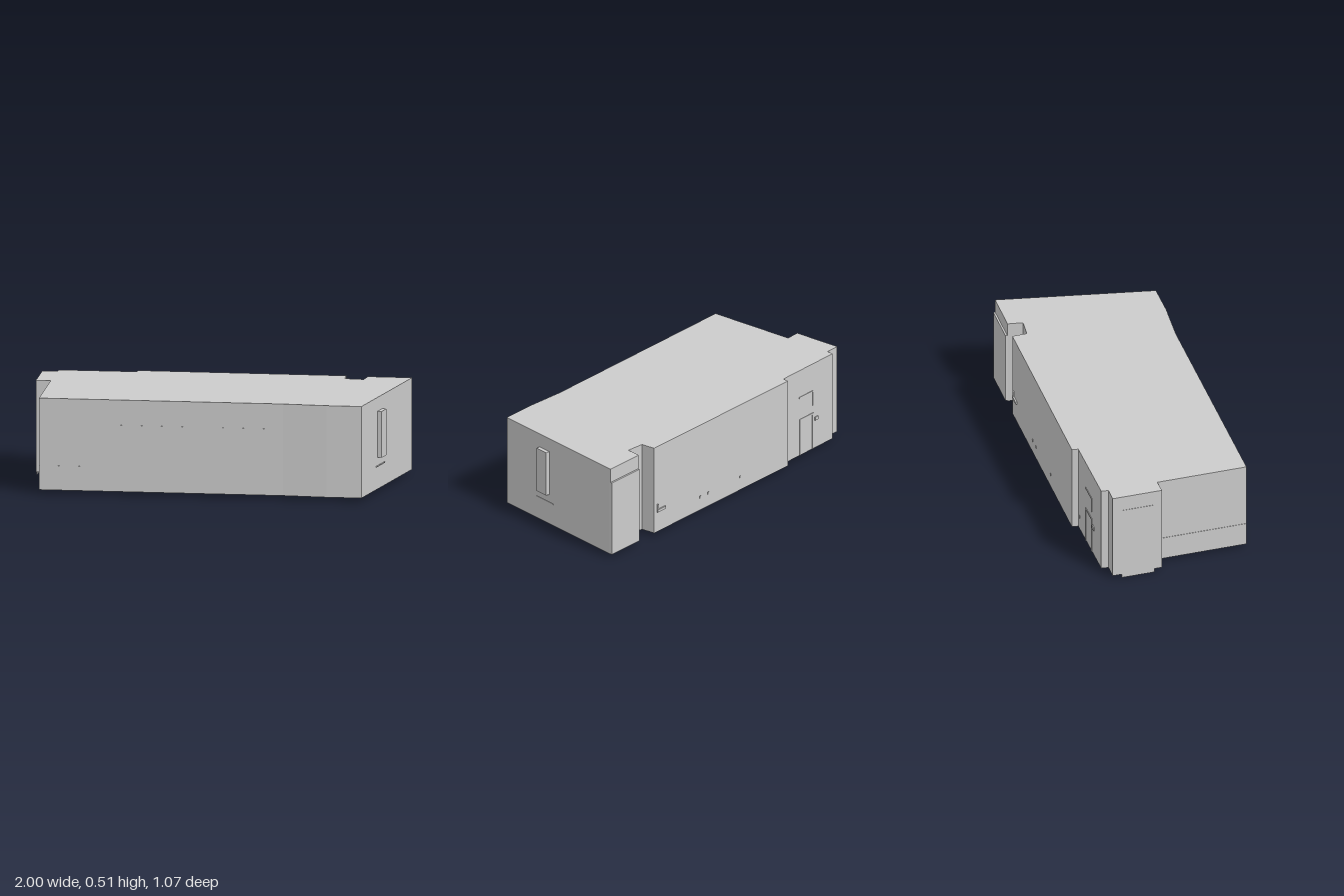
import * as THREE from 'three';

const FLOOR = 0.02, TOP = 0.515;

export function createModel() {
  const group = new THREE.Group();
  const mat = new THREE.MeshStandardMaterial({ color: 0xcccccc, flatShading: true });

  const add = (name, geometry) => {
    const mesh = new THREE.Mesh(geometry, mat);
    mesh.name = name;
    group.add(mesh);
    return mesh;
  };

  // Panel standing on a wall line from (x1, z1) to (x2, z2), proud by depth
  const onWall = (name, [x1, z1], [x2, z2], y0, y1, depth) => {
    const length = Math.hypot(x2 - x1, z2 - z1);
    const mesh = add(name, new THREE.BoxGeometry(length, y1 - y0, depth * 2));
    mesh.position.set((x1 + x2) / 2, (y0 + y1) / 2, (z1 + z2) / 2);
    mesh.rotation.y = Math.atan2(z1 - z2, x2 - x1);
    return mesh;
  };
  const along = (a, b, t) => [a[0] + (b[0] - a[0]) * t, a[1] + (b[1] - a[1]) * t];

  // Room shell: floor plan (x, z) pulled up to the ceiling
  const plan = [
    [-0.99, 0.26], [0.30, 0.452], [0.53, 0.503], [0.715, 0.53], [0.998, -0.28],
    [0.765, -0.316], [0.74, -0.237], [0.64, -0.262], [0.65, -0.342],
    [-0.45, -0.51], [-0.46, -0.477], [-0.87, -0.535], [-0.88, -0.497],
    [-0.96, -0.51], [-0.999, -0.24], [-0.92, -0.23],
  ];
  const shape = new THREE.Shape(plan.map(([x, z]) => new THREE.Vector2(x, z)));
  const shell = new THREE.ExtrudeGeometry(shape, { depth: TOP - FLOOR, bevelEnabled: false });
  shell.rotateX(Math.PI / 2).translate(0, TOP, 0);
  add('roomShell', shell);

  // End wall: window bay and the shelf beneath it
  onWall('windowBay', [0.806, 0.272], [0.832, 0.197], 0.19, 0.44, 0.022);
  onWall('windowShelf', [0.796, 0.30], [0.843, 0.165], 0.141, 0.147, 0.003);

  // Back wall: tall panel on the corner block
  onWall('cornerPanel', [0.771, -0.315], [0.997, -0.28], FLOOR, 0.437, 0.01);

  // Left end: door that drops below the floor line
  onWall('sideDoor', [-0.992, -0.28], [-0.966, -0.46], 0, 0.43, 0.003);

  // Back wall door frame and the lines above it
  const backA = [-0.46, -0.477], backB = [-0.87, -0.535];
  const back = (name, t0, t1, y0, y1, depth = 0.003) =>
    onWall(name, along(backA, backB, t0), along(backA, backB, t1), y0, y1, depth);
  back('doorFrameSide', 0.33, 0.345, FLOOR, 0.23);
  back('doorFrameSide', 0.585, 0.6, FLOOR, 0.23);
  back('doorFrameTop', 0.33, 0.6, 0.22, 0.23);
  back('doorHandle', 0.63, 0.7, 0.18, 0.2, 0.006);
  back('upperTrim', 0.32, 0.6, 0.352, 0.36);
  back('upperTrimSide', 0.588, 0.6, 0.275, 0.36);
  back('wallSocket', 0.05, 0.08, 0.09, 0.105);

  // Small fittings along the long back wall
  const longA = [0.65, -0.342], longB = [-0.45, -0.51];
  onWall('wallBracket', along(longA, longB, 0.02), along(longA, longB, 0.08), 0.135, 0.15, 0.009);
  onWall('bracketPost', along(longA, longB, 0.02), along(longA, longB, 0.03), 0.135, 0.18, 0.006);
  for (const t of [0.34, 0.4, 0.64]) {
    onWall('wallSocket', along(longA, longB, t), along(longA, longB, t + 0.008), 0.09, 0.103, 0.003);
  }

  // Thin trims on the front and left walls
  const frontA = [-0.99, 0.26], frontB = [0.30, 0.452];
  onWall('frontRail', frontA, along(frontA, frontB, 0.22), 0.148, 0.152, 0.001);
  onWall('frontTrim', along(frontA, frontB, 0.32), along(frontA, frontB, 0.62), 0.376, 0.379, 0.001);
  onWall('frontTrim', along(frontA, frontB, 0.7), along(frontA, frontB, 1), 0.376, 0.379, 0.001);
  onWall('leftRail', [-0.92, -0.23], [-0.99, 0.26], 0.146, 0.152, 0.002);

  // Underside: three oval rings in a row, with scattered specks around them
  for (const [x, z] of [[0.40, 0.04], [0.17, 0.02], [-0.05, -0.01]]) {
    const ring = add('floorRing', new THREE.TorusGeometry(0.05, 0.003, 4, 24));
    ring.rotation.x = Math.PI / 2;
    ring.scale.set(0.8, 1.5, 1);
    ring.position.set(x, FLOOR, z);
  }
  for (let i = 0; i < 44; i++) {
    const a = i * 2.4, r = 0.65 + 0.35 * ((i * 7) % 11) / 10;
    const speck = add('floorSpeck', new THREE.BoxGeometry(0.012, 0.006, 0.01));
    speck.position.set(0.2 + 0.42 * r * Math.cos(a), FLOOR, 0.04 + 0.24 * r * Math.sin(a));
    speck.rotation.y = a;
  }
  return group;
}
